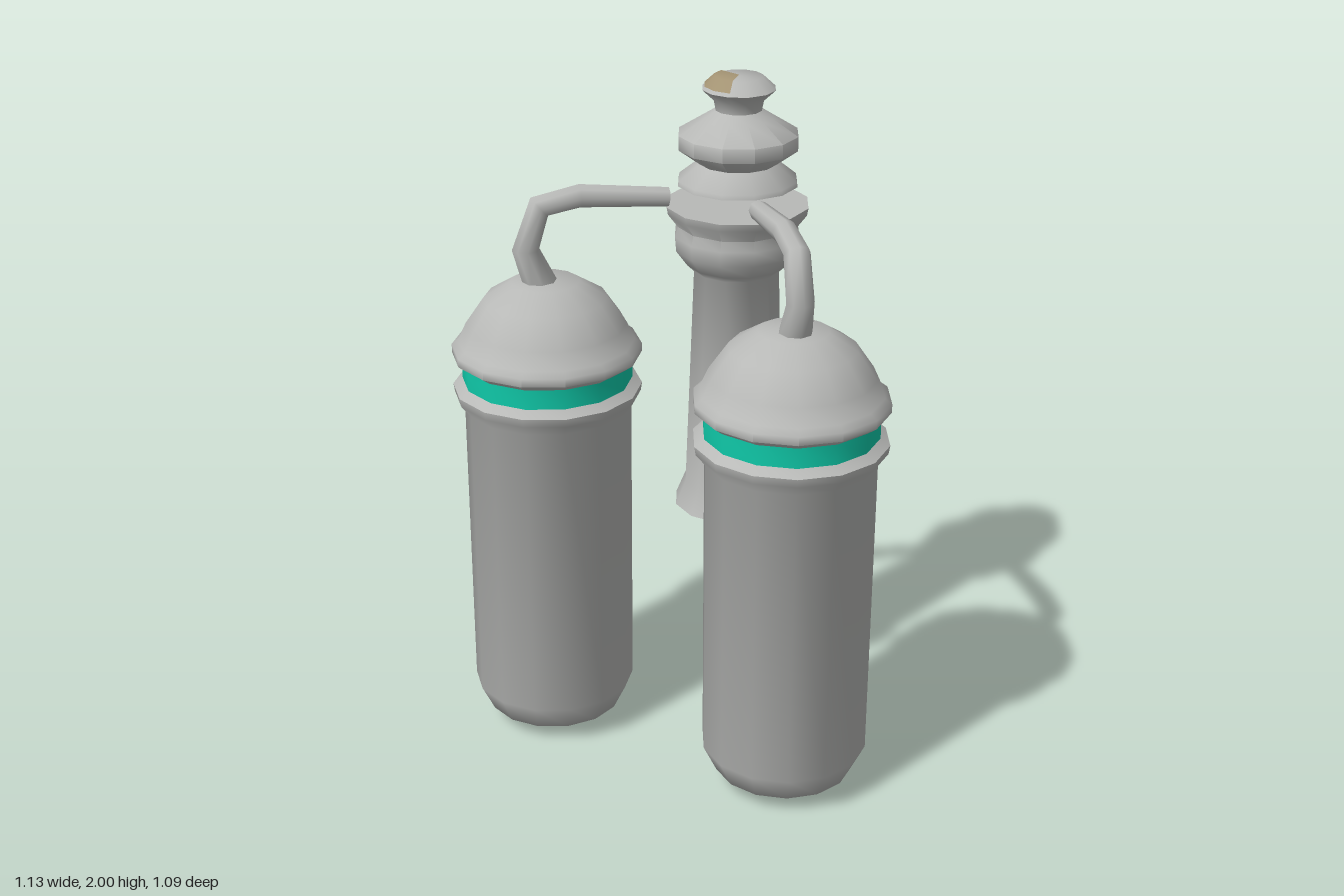
import * as THREE from 'three';
import { toCreasedNormals } from 'three/addons/utils/BufferGeometryUtils.js';

const gray = new THREE.MeshStandardMaterial({ color: 0xb8b9b7 });
gray.name = 'bareMetal';
const teal = new THREE.MeshStandardMaterial({ color: 0x10c8a8 });
teal.name = 'tealBand';
const tan = new THREE.MeshStandardMaterial({ color: 0xa39373 });
tan.name = 'tanPatch';

// Turned part from [radius, height] pairs listed bottom to top
function turned(name, profile, material, segments = 14, start = 0, sweep = Math.PI * 2) {
  const points = profile.map(([r, y]) => new THREE.Vector2(r, y));
  const geometry = toCreasedNormals(new THREE.LatheGeometry(points, segments, start, sweep), 1.0);
  const mesh = new THREE.Mesh(geometry, material);
  mesh.name = name;
  return mesh;
}

// Bent pipe with one ring per path point and its own radius there
function pipe(path, radii) {
  const curve = new THREE.CatmullRomCurve3(path.map(([x, y]) => new THREE.Vector3(x, y, 0)));
  curve.getPointAt = curve.getPoint;
  curve.getTangentAt = curve.getTangent;
  const rings = path.length - 1;
  const geometry = new THREE.TubeGeometry(curve, rings, 1, 8);
  const pos = geometry.attributes.position;
  const p = new THREE.Vector3();
  for (let i = 0; i < pos.count; i++) {
    const ring = Math.floor(i / 9);
    const centre = curve.getPoint(ring / rings);
    p.fromBufferAttribute(pos, i).sub(centre).multiplyScalar(radii[ring]).add(centre);
    pos.setXYZ(i, p.x, p.y, p.z);
  }
  const mesh = new THREE.Mesh(geometry, gray);
  mesh.name = 'pipe';
  return mesh;
}

// Tank with banded collar, dome and outlet pipe towards local +x
function canister(name) {
  const group = new THREE.Group();
  group.name = name;
  group.add(turned('tankBody', [
    [0, 0], [0.08, 0.005], [0.205, 0.05], [0.244, 0.13], [0.246, 1.05],
    [0.274, 1.085], [0.278, 1.11], [0.25, 1.13],
  ], gray));
  group.add(turned('collarBand', [[0.25, 1.13], [0.25, 1.19]], teal));
  group.add(turned('dome', [
    [0.25, 1.19], [0.278, 1.21], [0.278, 1.235], [0.258, 1.25], [0.235, 1.30],
    [0.18, 1.38], [0.1, 1.43], [0, 1.435],
  ], gray));
  group.add(pipe(
    [[-0.01, 1.41], [-0.055, 1.53], [-0.012, 1.655], [0.105, 1.678], [0.365, 1.655]],
    [0.05, 0.04, 0.038, 0.035, 0.029]));
  const cap = new THREE.Mesh(new THREE.CircleGeometry(0.029, 8), teal);
  cap.name = 'pipeEnd';
  cap.rotation.y = Math.PI / 2;
  cap.position.set(0.367, 1.655, 0);
  group.add(cap);
  return group;
}

export function createModel() {
  const model = new THREE.Group();
  model.name = 'twinTanks';

  const backTank = canister('backTank');
  backTank.position.set(-0.3, 0, -0.27);
  const frontTank = canister('frontTank');
  frontTank.position.set(0.285, 0, 0.272);
  frontTank.rotation.y = Math.PI / 2;
  model.add(backTank, frontTank);

  // Central column with a floating stepped top
  const column = new THREE.Group();
  column.name = 'column';
  column.position.set(0.273, 0, -0.272);
  column.add(turned('columnBody', [
    [0, 0.665], [0.182, 0.665], [0.152, 0.74], [0.129, 1.42], [0.15, 1.44], [0.183, 1.485],
    [0.187, 1.53], [0.178, 1.56], [0.208, 1.60], [0.212, 1.622], [0, 1.622],
  ], gray, 12));
  column.add(turned('steppedTop', [
    [0, 1.683], [0.178, 1.683], [0.175, 1.697], [0.115, 1.745], [0.177, 1.79], [0.177, 1.832],
    [0.1, 1.88], [0.068, 1.90], [0.074, 1.93], [0.108, 1.962], [0.07, 1.997], [0, 1.997],
  ], gray, 12));

  // Worn patches
  column.add(turned('knobPatch', [[0.102, 1.972], [0.072, 2], [0, 2]],
    tan, 4, Math.PI * 1.5 - 1.05, 2.1));
  column.add(turned('columnPatch', [[0.152, 0.83], [0.151, 0.865]],
    tan, 4, Math.PI / 2 - 0.63, 0.56));
  model.add(column);
  return model;
}
